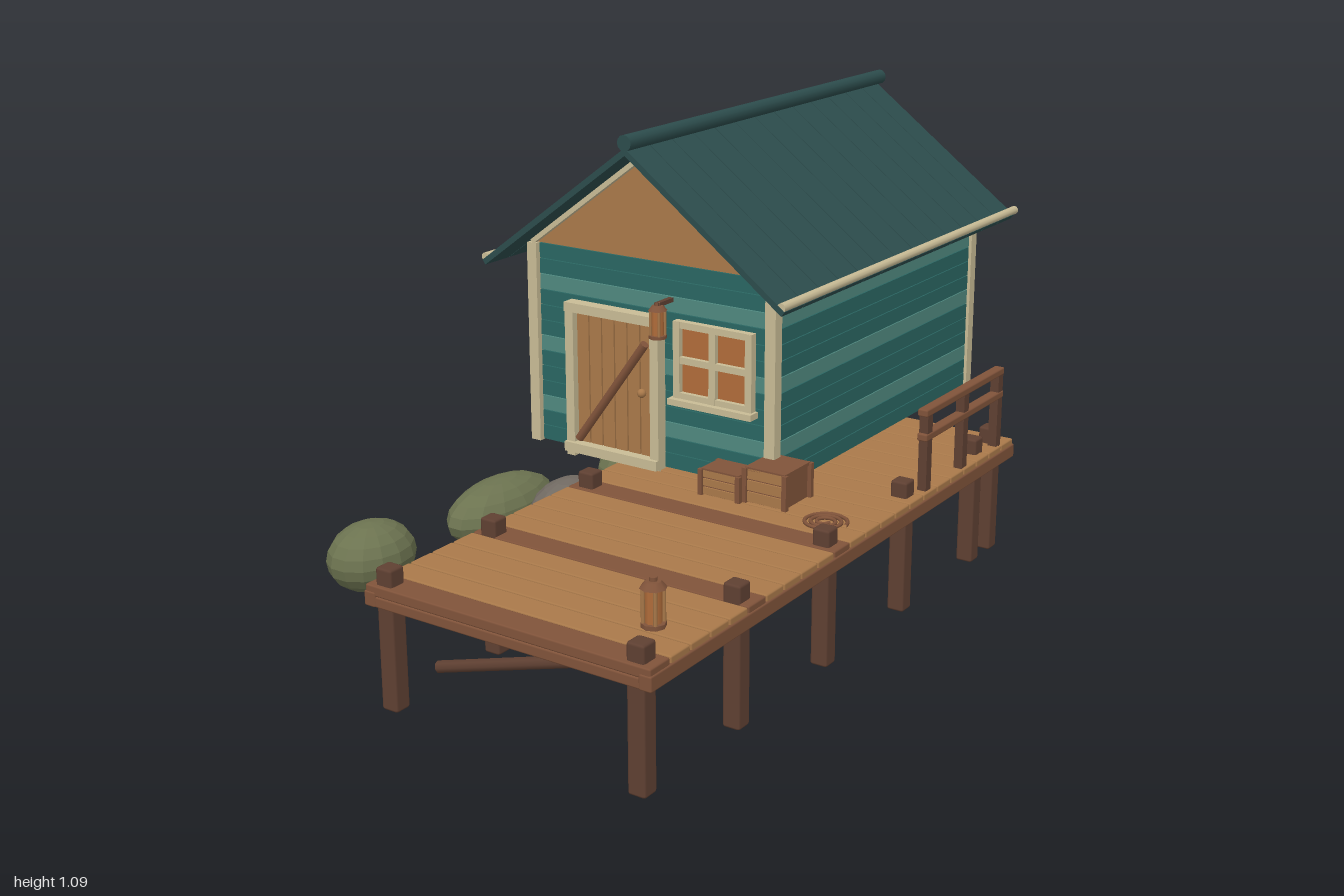
import * as THREE from 'three';
import { RoundedBoxGeometry } from 'three/addons/geometries/RoundedBoxGeometry.js';

const mat = (name, color, extra = {}) => {
  const m = new THREE.MeshStandardMaterial({ color, ...extra });
  m.name = name;
  return m;
};

export function createModel() {
  const root = new THREE.Group();
  root.name = 'boathouse';
  const roofTeal = mat('roof teal', 0x2c4c4c);
  const teal = mat('wall teal', 0x2a6662);
  const paleTeal = mat('pale wall teal', 0x4f887f);
  const cream = mat('cream trim', 0xc8bb95);
  const wood = mat('honey wood', 0xa9794a);
  const brown = mat('brown wood', 0x80533a);
  const dark = mat('dark wood', 0x5f4032);
  const pane = mat('amber glass', 0xb06c3a);
  const moss = mat('mossy stone', 0x6c7350, { flatShading: true });
  const grey = mat('grey stone', 0x716a62, { flatShading: true });

  const group = (name, parent = root) => {
    const g = new THREE.Group();
    g.name = name;
    parent.add(g);
    return g;
  };
  const add = (parent, name, geo, m, x = 0, y = 0, z = 0) => {
    const mesh = new THREE.Mesh(geo, m);
    mesh.name = name;
    mesh.position.set(x, y, z);
    parent.add(mesh);
    return mesh;
  };
  // Box given by its extents on each axis
  const box = (parent, name, m, [x0, x1], [y0, y1], [z0, z1], bevel = 0) => {
    const s = [x1 - x0, y1 - y0, z1 - z0];
    const geo = bevel ? new RoundedBoxGeometry(...s, 1, bevel) : new THREE.BoxGeometry(...s);
    return add(parent, name, geo, m, (x0 + x1) / 2, (y0 + y1) / 2, (z0 + z1) / 2);
  };
  // Round bar between two points
  const bar = (parent, name, m, a, b, r, sides = 8) => {
    const p = new THREE.Vector3(...a), q = new THREE.Vector3(...b);
    const mesh = add(parent, name, new THREE.CylinderGeometry(r, r, p.distanceTo(q), sides), m);
    mesh.position.copy(p).add(q).multiplyScalar(0.5);
    mesh.quaternion.setFromUnitVectors(new THREE.Vector3(0, 1, 0), q.sub(p).normalize());
    return mesh;
  };

  // Dock: cross planks, frame beams, posts and slanted braces
  const dock = group('dock');
  for (let i = 0; i < 23; i++) {
    const z = 0.99 - i * 0.068;
    const m = i % 5 === 0 && i <= 10 ? brown : wood;
    box(dock, 'deckPlank', m, [-0.157, 0.557], [0.258, 0.282], [z - 0.065, z], 0.004);
  }
  for (const x of [-0.145, 0.545]) box(dock, 'sideBeam', brown, [x - 0.015, x + 0.015], [0.234, 0.268], [-0.575, 0.992], 0.004);
  for (const z of [-0.56, 0.975]) box(dock, 'endBeam', brown, [-0.158, 0.56], [0.234, 0.258], [z - 0.015, z + 0.015], 0.004);
  for (const z of [0.96, 0.63, 0.28, -0.07, -0.425, -0.525])
    for (const x of [-0.115, 0.515])
      box(dock, 'dockPost', dark, [x - 0.021, x + 0.021], [0, 0.32], [z - 0.021, z + 0.021], 0.006);
  for (const z of [0.84, 0.555, 0.16, -0.22]) bar(dock, 'brace', dark, [-0.1, 0.05, z], [0.51, 0.235, z], 0.014);

  // Railing on the left edge of the dock
  const rail = group('railing');
  for (const z of [-0.13, -0.315, -0.5]) box(rail, 'railPost', dark, [0.528, 0.55], [0.28, 0.475], [z - 0.012, z + 0.012]);
  for (const y of [0.413, 0.472]) box(rail, 'railBar', brown, [0.526, 0.552], [y - 0.009, y + 0.009], [-0.515, -0.11], 0.004);

  // Plank walls, open underneath
  const cx = -0.08, pitch = 0.0385;
  const walls = group('walls');
  for (let i = 0; i < 13; i++) {
    const m = i % 4 === 2 ? paleTeal : teal;
    const y = [0.285 + i * pitch, 0.285 + (i + 1) * pitch - 0.002];
    for (const z of [0.075, -0.89]) box(walls, 'endPlank', m, [cx - 0.335, cx + 0.335], y, [z - 0.01, z + 0.01]);
    for (const s of [-1, 1]) {
      const x = cx + s * 0.335;
      box(walls, 'sidePlank', m, [x - 0.01, x + 0.01], y, [-0.89, 0.075]);
    }
  }
  for (const s of [-1, 1])
    for (const z of [0.085, -0.895]) {
      const x = cx + s * 0.339;
      box(walls, 'cornerPost', cream, [x - 0.014, x + 0.014], [0.283, 0.785], [z - 0.014, z + 0.014]);
    }
  const tri = new THREE.Shape([[-0.34, 0.785], [0.34, 0.785], [0, 1.04]].map(p => new THREE.Vector2(...p)));
  const gableGeo = new THREE.ExtrudeGeometry(tri, { depth: 0.018, bevelEnabled: false });
  for (const z of [0.066, -0.899]) add(walls, 'gable', gableGeo, wood, cx, 0, z);

  // Roof: boards running down each slope, ridge pole and eave poles
  const roof = group('roof');
  const slope = Math.atan2(0.312, 0.42), len = 0.524;
  for (const s of [-1, 1]) {
    const side = group('roofSlope', roof);
    side.position.set(cx, 1.054, 0);
    side.rotation.z = -s * slope;
    const ext = (a, b) => (s > 0 ? [a, b] : [-b, -a]);
    for (let i = 0; i < 13; i++) {
      const z = 0.18 - i * 0.0893;
      box(side, 'roofBoard', roofTeal, ext(0, len), [-0.007, 0.007], [z - 0.0865, z]);
    }
    box(side, 'rakeTrim', cream, ext(0, 0.43), [-0.019, -0.007], [0.084, 0.1]);
    const ex = cx + s * 0.416;
    bar(roof, 'eavePole', cream, [ex, 0.755, 0.18], [ex, 0.755, -1], 0.011, 10);
  }
  bar(roof, 'ridgePole', roofTeal, [cx, 1.074, 0.182], [cx, 1.074, -1], 0.019, 12);

  // Door with frame, boards, slanted bar and knob
  const door = group('door');
  box(door, 'doorBacking', dark, [-0.29, -0.06], [0.3, 0.64], [0.084, 0.09]);
  for (let i = 0; i < 6; i++) {
    const x = -0.284 + i * 0.0373;
    box(door, 'doorBoard', wood, [x, x + 0.0335], [0.308, 0.635], [0.088, 0.1]);
  }
  for (const x of [-0.298, -0.05]) box(door, 'doorJamb', cream, [x - 0.012, x + 0.012], [0.272, 0.655], [0.083, 0.115]);
  box(door, 'doorHead', cream, [-0.31, -0.038], [0.635, 0.658], [0.083, 0.118]);
  box(door, 'doorSill', cream, [-0.31, -0.038], [0.284, 0.308], [0.083, 0.125]);
  bar(door, 'doorBar', brown, [-0.275, 0.318, 0.11], [-0.078, 0.588, 0.11], 0.011);
  add(door, 'doorKnob', new THREE.SphereGeometry(0.011, 10, 8), wood, -0.09, 0.465, 0.108);

  // Four-pane window
  const win = group('window');
  box(win, 'glass', pane, [0.005, 0.205], [0.47, 0.65], [0.084, 0.091]);
  for (const x of [0.006, 0.105, 0.204]) box(win, 'windowUpright', cream, [x - 0.009, x + 0.009], [0.465, 0.655], [0.084, 0.104]);
  for (const y of [0.476, 0.563, 0.648]) box(win, 'windowCrossbar', cream, [-0.003, 0.213], [y - 0.008, y + 0.008], [0.084, 0.103]);
  box(win, 'windowSill', cream, [-0.01, 0.22], [0.455, 0.47], [0.084, 0.118]);

  // Lanterns: one on the wall, one above the dock corner
  const lantern = (x, y, z, h) => {
    const g = group('lantern');
    g.position.set(x, y, z);
    g.scale.setScalar(h);
    const disc = (name, m, r0, r1, y0, y1) => add(g, name, new THREE.CylinderGeometry(r1, r0, y1 - y0, 8), m, 0, (y0 + y1) / 2, 0);
    disc('lanternBase', brown, 0.25, 0.25, 0, 0.09);
    disc('lanternGlass', pane, 0.17, 0.17, 0.09, 0.78);
    disc('lanternCap', brown, 0.27, 0.16, 0.78, 0.92);
    disc('lanternTop', brown, 0.08, 0.08, 0.92, 1);
    for (let i = 0; i < 4; i++) {
      const a = Math.PI / 4 + i * Math.PI / 2, px = 0.2 * Math.cos(a), pz = 0.2 * Math.sin(a);
      bar(g, 'lanternRod', wood, [px, 0.08, pz], [px, 0.8, pz], 0.04, 6);
    }
  };
  lantern(-0.02, 0.62, 0.14, 0.085);
  lantern(0.537, 0.35, 0.95, 0.1);
  box(root, 'lanternBracket', dark, [-0.026, -0.014], [0.695, 0.705], [0.084, 0.145]);

  // Crates by the wall
  const crate = (x, y, z) => {
    const g = group('crate'), h = (y[1] - y[0]) / 3;
    box(g, 'crateCore', brown, [x[0] + 0.004, x[1] - 0.004], [y[0], y[1] - 0.003], [z[0] + 0.004, z[1] - 0.004]);
    for (let i = 0; i < 3; i++)
      box(g, 'crateSlat', wood, [x[0] + 0.002, x[1] - 0.002], [y[0] + i * h + 0.002, y[0] + (i + 1) * h - 0.002], [z[1] - 0.005, z[1]]);
    for (const px of x)
      for (const pz of z) box(g, 'crateCorner', brown, [px - 0.006, px + 0.006], y, [pz - 0.006, pz + 0.006]);
    box(g, 'crateLid', brown, x, [y[1] - 0.006, y[1] + 0.002], z);
  };
  crate([0.13, 0.232], [0.283, 0.345], [0.11, 0.185]);
  crate([0.24, 0.346], [0.283, 0.366], [0.06, 0.17]);

  // Coiled rope on the deck
  const coil = [];
  for (let i = 0; i <= 48; i++) {
    const a = i / 48 * Math.PI * 6, r = 0.012 + 0.04 * i / 48;
    coil.push(new THREE.Vector3(r * Math.cos(a), 0, r * Math.sin(a)));
  }
  add(root, 'ropeCoil', new THREE.TubeGeometry(new THREE.CatmullRomCurve3(coil), 96, 0.0045, 6), brown, 0.455, 0.286, 0.18);

  // Boulders along the right side: material, centre, radii
  const rocks = group('boulders');
  const rockGeo = new THREE.SphereGeometry(1, 14, 10);
  [
    [moss, -0.43, 0.176, 0.685, 0.09, 0.08, 0.113],
    [moss, -0.37, 0.18, 0.3, 0.085, 0.075, 0.175],
    [grey, -0.2, 0.178, 0.25, 0.09, 0.095, 0.12],
    [moss, -0.17, 0.18, 0.11, 0.08, 0.04, 0.11],
    [moss, -0.24, 0.178, -0.09, 0.1, 0.1, 0.125],
    [moss, -0.43, 0.176, -0.28, 0.09, 0.076, 0.088],
    [grey, -0.46, 0.178, -0.62, 0.108, 0.083, 0.085],
    [grey, -0.43, 0.172, -0.76, 0.085, 0.07, 0.09],
    [moss, -0.31, 0.176, -0.71, 0.085, 0.066, 0.1],
    [moss, -0.33, 0.18, -0.83, 0.09, 0.07, 0.085],
  ].forEach(([m, x, y, z, rx, ry, rz]) => add(rocks, 'boulder', rockGeo, m, x, y, z).scale.set(rx, ry, rz));

  return root;
}
